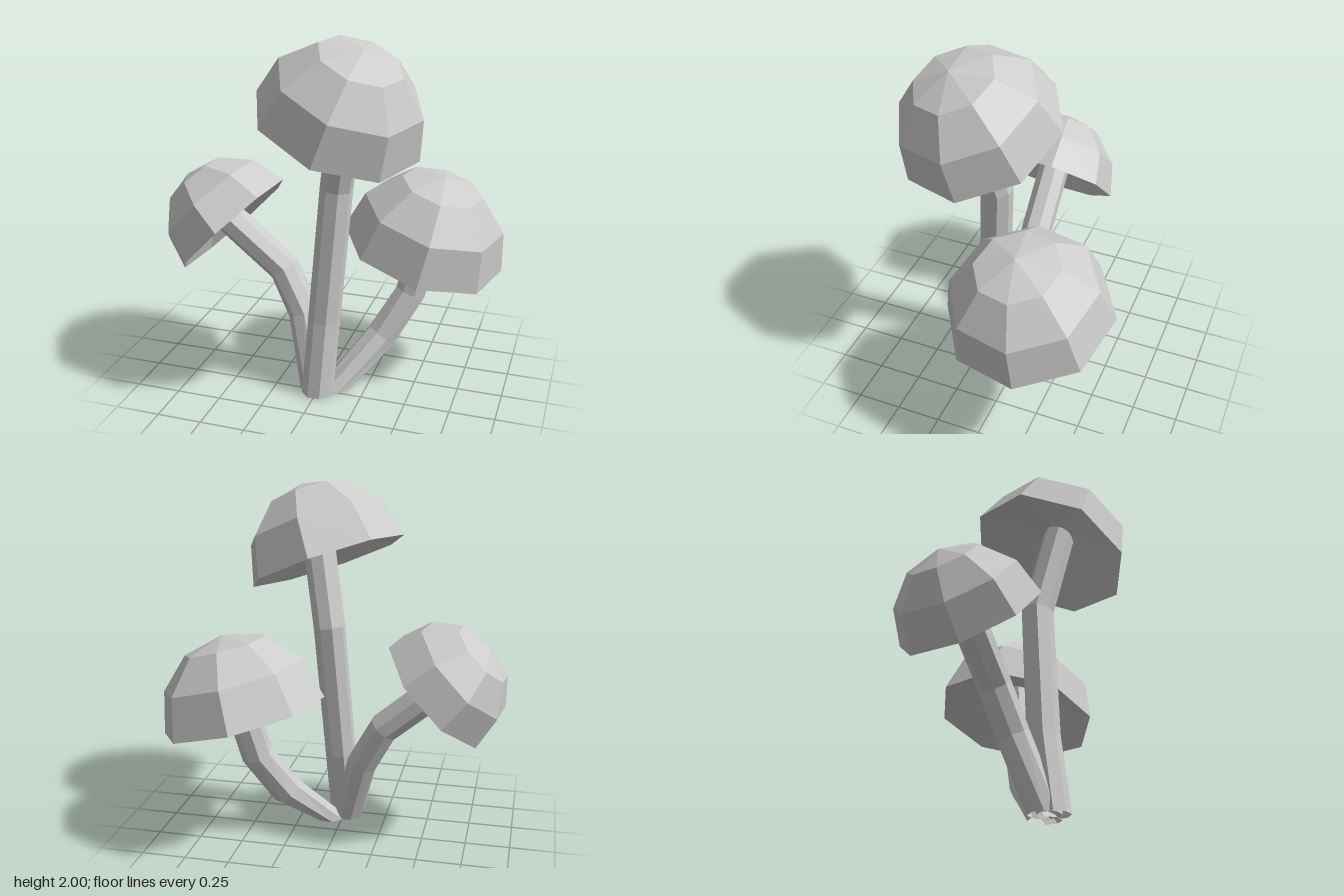
import * as THREE from 'three';

const SIDES = 8;
const material = new THREE.MeshStandardMaterial({
  color: 0xcccccc, flatShading: true, side: THREE.DoubleSide,
});
const vec = (a) => new THREE.Vector3(...a);

// Cap: low-poly half dome with a hollow cone underneath
function makeCap({ centre, axis, spoke, radius }) {
  const profile = [new THREE.Vector2(0, radius * 0.45)];
  for (let i = 0; i <= 3; i++) {
    const a = (i * Math.PI) / 6;
    profile.push(new THREE.Vector2(i === 3 ? 0 : radius * Math.cos(a), radius * Math.sin(a)));
  }
  const cap = new THREE.Mesh(new THREE.LatheGeometry(profile, SIDES), material);
  cap.name = 'cap';
  // axis points up through the dome, spoke points at one rim corner
  const y = vec(axis).normalize();
  const x = vec(spoke).addScaledVector(y, -vec(spoke).dot(y)).normalize();
  const z = x.clone().cross(y);
  cap.quaternion.setFromRotationMatrix(new THREE.Matrix4().makeBasis(x, y, z));
  cap.position.copy(vec(centre));
  return cap;
}

// Stem: eight-sided open tube with a mitred ring at every bend
function makeStem(path, radius) {
  const points = path.map(vec);
  const positions = [];
  const index = [];
  points.forEach((p, i) => {
    const before = points[Math.max(i - 1, 0)];
    const after = points[Math.min(i + 1, points.length - 1)];
    const t = new THREE.Vector3(0, 1, 0); // the foot is cut level with the ground
    if (i > 0) {
      t.copy(p).sub(before).normalize();
      if (after !== p) t.add(after.clone().sub(p).normalize()).normalize();
    }
    const u = new THREE.Vector3(0, 0, 1).addScaledVector(t, -t.z).normalize();
    const v = t.clone().cross(u);
    for (let k = 0; k < SIDES; k++) {
      const a = ((k + 0.5) / SIDES) * Math.PI * 2;
      const q = p.clone()
        .addScaledVector(u, radius * Math.cos(a))
        .addScaledVector(v, radius * Math.sin(a));
      positions.push(q.x, q.y, q.z);
      if (i === 0) continue;
      const n = (k + 1) % SIDES;
      const lo = (i - 1) * SIDES;
      const hi = i * SIDES;
      index.push(lo + k, lo + n, hi + n, lo + k, hi + n, hi + k);
    }
  });
  const geometry = new THREE.BufferGeometry();
  geometry.setAttribute('position', new THREE.Float32BufferAttribute(positions, 3));
  geometry.setIndex(index);
  geometry.computeVertexNormals();
  const stem = new THREE.Mesh(geometry, material);
  stem.name = 'stem';
  return stem;
}

const mushrooms = [
  {
    name: 'tallMushroom',
    cap: { centre: [0.1, 1.55, 0.215], axis: [0.36, 0.91, 0.205], spoke: [0.425, -0.16, -0.035], radius: 0.456 },
    stem: [[0, 0, 0.26], [0.02, 0.42, 0.2], [0.075, 1.19, 0.15], [0.17, 1.73, 0.26]],
  },
  {
    name: 'leftMushroom',
    cap: { centre: [0.48, 0.755, -0.205], axis: [0.264, 0.961, 0.074], spoke: [0.44, -0.115, -0.075], radius: 0.461 },
    stem: [[0.08, 0, 0.17], [0.29, 0.25, -0.04], [0.43, 0.5, -0.14], [0.53, 0.93, -0.2]],
  },
  {
    name: 'rightMushroom',
    cap: { centre: [-0.56, 0.88, 0.08], axis: [-0.71, 0.7, -0.06], spoke: [-0.15, -0.12, 0.34], radius: 0.387 },
    stem: [[-0.02, 0, 0.22], [-0.13, 0.4, 0.1], [-0.26, 0.64, 0.06], [-0.7, 1.01, 0.07]],
  },
];

export function createModel() {
  const model = new THREE.Group();
  model.name = 'mushroomCluster';
  for (const { name, cap, stem } of mushrooms) {
    const mushroom = new THREE.Group();
    mushroom.name = name;
    mushroom.add(makeStem(stem, 0.09), makeCap(cap));
    model.add(mushroom);
  }
  return model;
}
